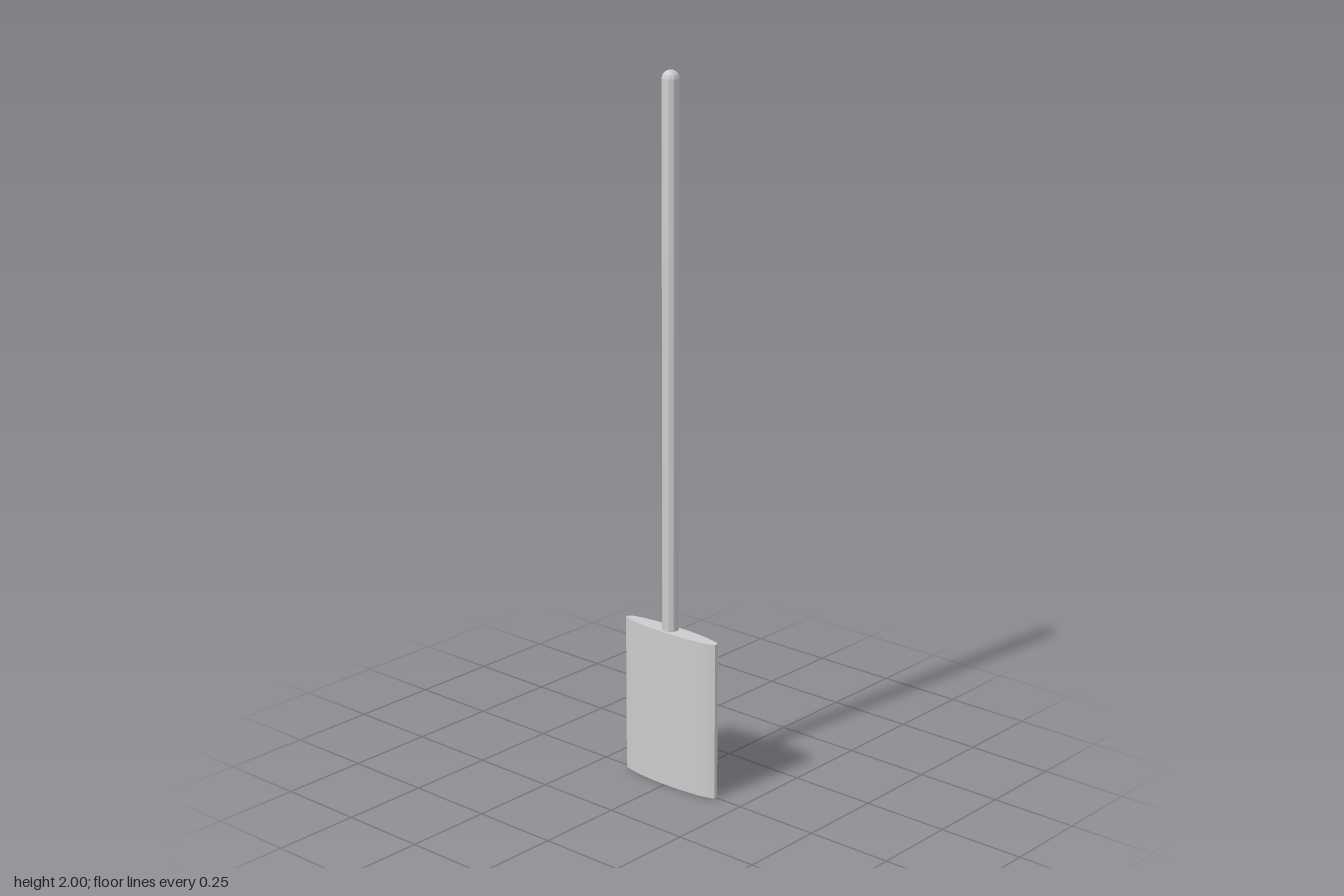
import * as THREE from 'three';
import { toCreasedNormals } from 'three/addons/utils/BufferGeometryUtils.js';

const material = new THREE.MeshStandardMaterial({ color: 0xcccccc });

// Flat blade: a slim ellipse with blunt ends, extruded upwards
function createBlade() {
  const halfX = 0.0275, halfZ = 0.167, height = 0.455, steps = 14;
  const blunt = Math.PI / 15;
  const points = [];
  for (const side of [1, -1]) {
    for (let i = 0; i <= steps; i++) {
      const a = blunt + (Math.PI - 2 * blunt) * i / steps;
      points.push(new THREE.Vector2(side * halfX * Math.sin(a), -side * halfZ * Math.cos(a)));
    }
  }
  const geometry = new THREE.ExtrudeGeometry(new THREE.Shape(points), { depth: height, bevelEnabled: false });
  geometry.rotateX(-Math.PI / 2);
  const blade = new THREE.Mesh(toCreasedNormals(geometry, 0.6), material);
  blade.name = 'blade';
  blade.position.x = -0.001;
  return blade;
}

// Round shaft with a domed top, set slightly into the blade
function createShaft() {
  const radius = 0.0235, bottom = 0.44, top = 2;
  const profile = [new THREE.Vector2(0, bottom), new THREE.Vector2(radius, bottom)];
  for (let i = 0; i <= 10; i++) {
    const a = (Math.PI / 2) * i / 10;
    profile.push(new THREE.Vector2(i === 10 ? 0 : radius * Math.cos(a), top - radius + radius * Math.sin(a)));
  }
  const geometry = toCreasedNormals(new THREE.LatheGeometry(profile, 32), 0.6);
  const shaft = new THREE.Mesh(geometry, material);
  shaft.name = 'shaft';
  shaft.position.set(0.004, 0, -0.007);
  return shaft;
}

export function createModel() {
  const group = new THREE.Group();
  group.name = 'paddle';
  group.add(createBlade(), createShaft());
  return group;
}
